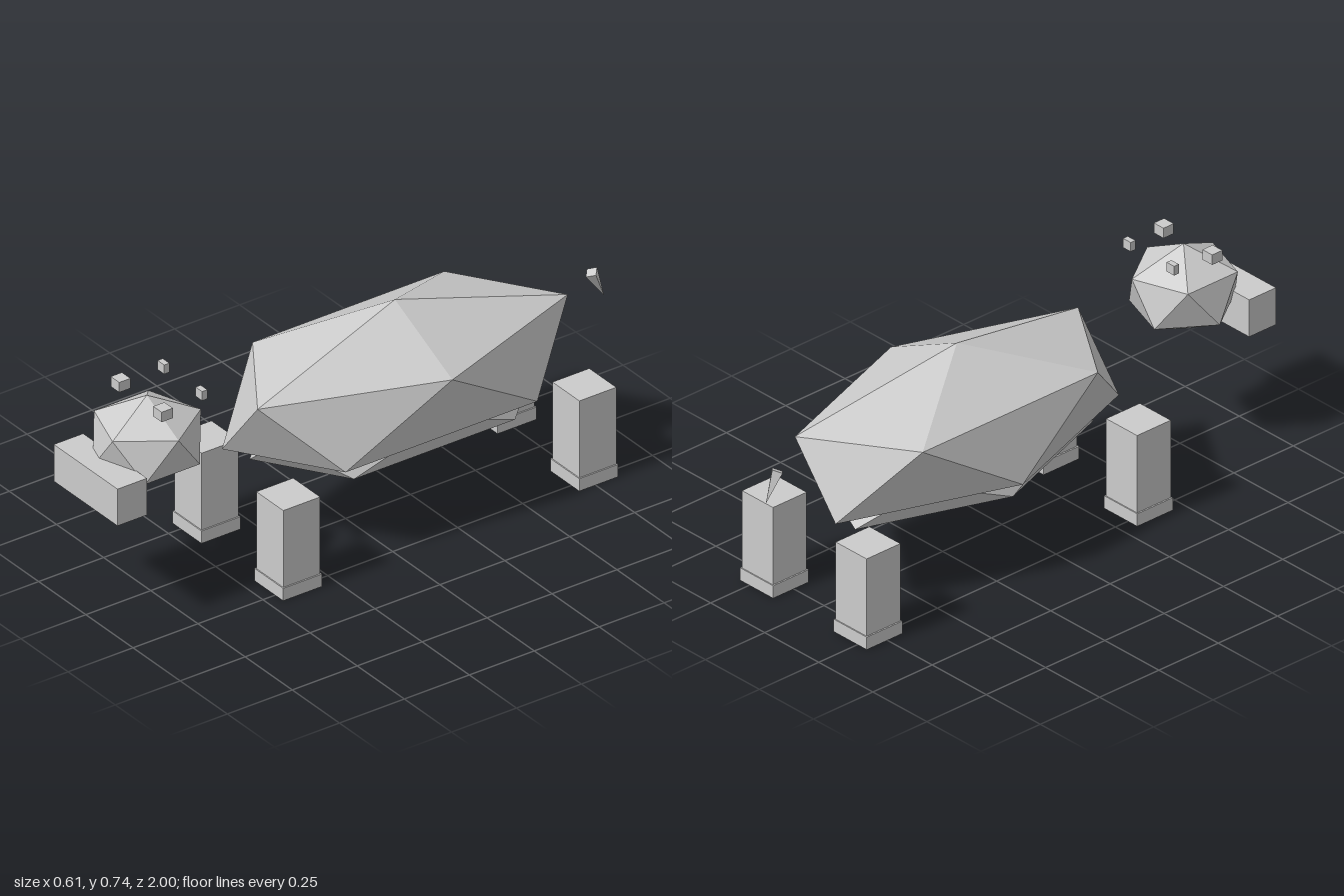
import * as THREE from 'three';

const grey = new THREE.MeshStandardMaterial({ color: 0xcccccc });
grey.name = 'plainGrey';

// Pole-up icosahedron: two staggered five-point rings between two poles
function icoBlob(name, [cx, cy, cz], [rx, ry, rz]) {
  const h = 1 / Math.sqrt(5), w = 2 * h, pos = [];
  const ring = (y, offset) => Array.from({ length: 5 }, (_, i) => {
    const a = offset + i * Math.PI * 2 / 5;
    return [w * Math.cos(a), y, w * Math.sin(a)];
  });
  const up = ring(h, 0), low = ring(-h, Math.PI / 5);
  for (let i = 0; i < 5; i++) {
    const j = (i + 1) % 5;
    pos.push([0, 1, 0], up[j], up[i]);
    pos.push(up[i], up[j], low[i]);
    pos.push(low[i], up[j], low[j]);
    pos.push([0, -1, 0], low[i], low[j]);
  }
  const geo = new THREE.BufferGeometry();
  geo.setAttribute('position', new THREE.Float32BufferAttribute(pos.flat(), 3));
  geo.scale(rx, ry, rz);
  geo.computeVertexNormals();
  const mesh = new THREE.Mesh(geo, grey);
  mesh.name = name;
  mesh.position.set(cx, cy, cz);
  return mesh;
}

// Box given by its extents on each axis
function box(name, [x0, x1], [y0, y1], [z0, z1]) {
  const mesh = new THREE.Mesh(new THREE.BoxGeometry(x1 - x0, y1 - y0, z1 - z0), grey);
  mesh.name = name;
  mesh.position.set((x0 + x1) / 2, (y0 + y1) / 2, (z0 + z1) / 2);
  return mesh;
}

export function createModel() {
  const model = new THREE.Group();
  model.name = 'animal';

  // Trunk, belly and head
  model.add(
    icoBlob('body', [0, 0.465, -0.19], [0.341, 0.262, 0.702]),
    icoBlob('belly', [0, 0.351, -0.19], [0.29, 0.148, 0.59]),
    icoBlob('head', [0, 0.56, 0.765], [0.188, 0.153, 0.2]),
    box('snout', [-0.17, 0.168], [0.402, 0.535], [0.887, 1])
  );

  // Mirrored eyes, ears, legs and hooves
  for (const s of [-1, 1]) {
    const side = s > 0 ? 'left' : 'right';
    const span = (a, b) => (s > 0 ? [a, b] : [-b, -a]);
    model.add(
      box(side + 'Eye', span(0.09, 0.135), [0.694, 0.73], [0.763, 0.806]),
      box(side + 'Ear', span(0.083, 0.118), [0.705, 0.738], [0.618, 0.638])
    );
    for (const [end, z] of [['Front', 0.378], ['Back', -0.762]]) {
      model.add(
        box(side + end + 'Leg', span(0.145, 0.288), [0.045, 0.323], [z - 0.071, z + 0.071]),
        box(side + end + 'Hoof', span(0.14, 0.293), [0, 0.045], [z - 0.075, z + 0.075])
      );
    }
  }

  // Four-sided tail, tip down and back
  const cone = new THREE.ConeGeometry(0.024, 0.112, 4).toNonIndexed();
  cone.computeVertexNormals();
  const tail = new THREE.Mesh(cone, grey);
  tail.name = 'tail';
  tail.position.set(0, 0.512, -0.971);
  tail.rotation.x = -2.69;
  model.add(tail);

  return model;
}
